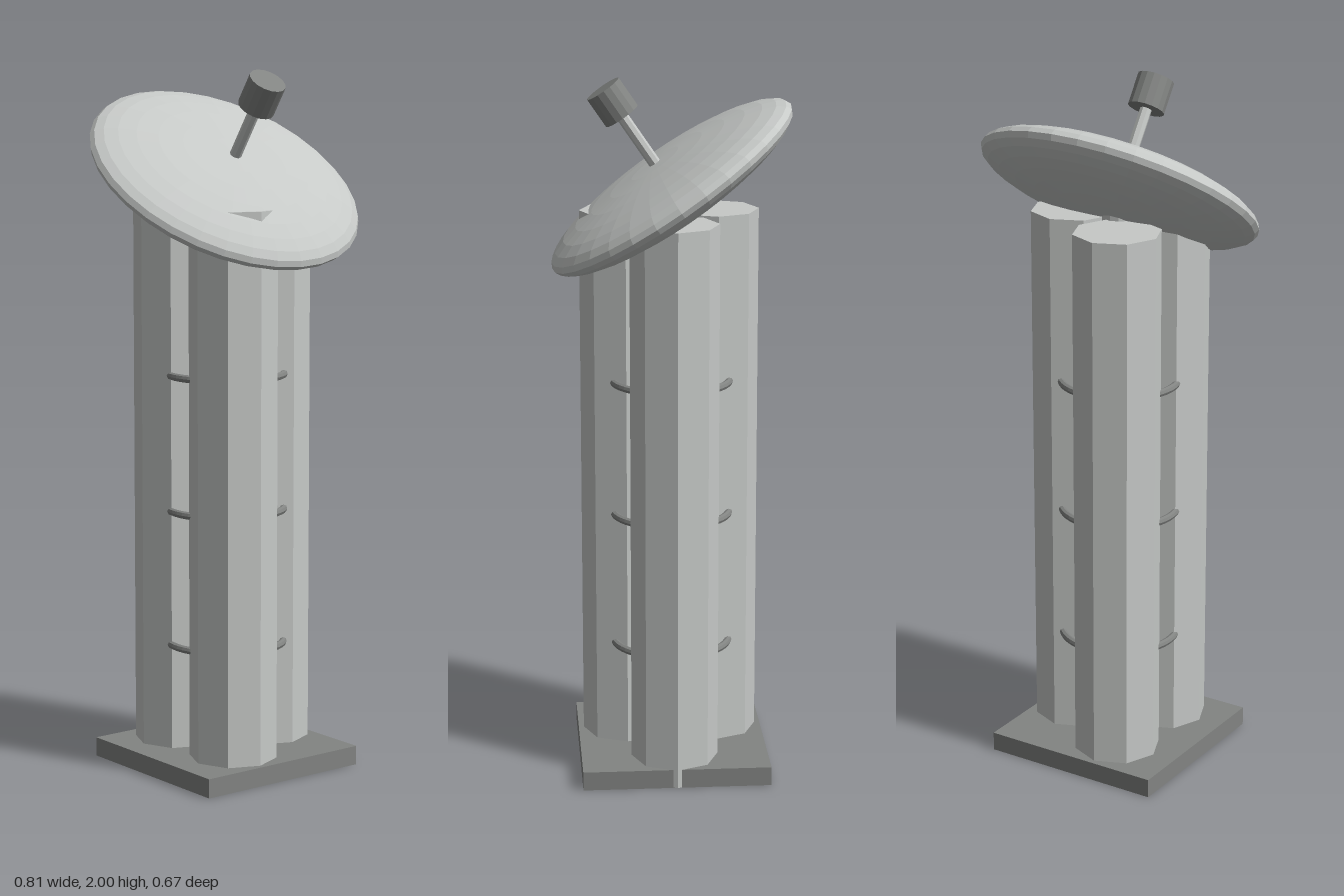
import * as THREE from 'three';

export function createModel() {
  const model = new THREE.Group();
  model.name = 'dishTower';

  const mat = (name, color) => {
    const m = new THREE.MeshStandardMaterial({ color, flatShading: true });
    m.name = name;
    return m;
  };
  const light = mat('lightGrey', 0xc6c9c7);
  const dark = mat('darkGrey', 0x828482);

  const add = (parent, name, geometry, material, x = 0, y = 0, z = 0) => {
    const mesh = new THREE.Mesh(geometry, material);
    mesh.name = name;
    mesh.position.set(x, y, z);
    parent.add(mesh);
    return mesh;
  };

  // Square foot plate
  add(model, 'base', new THREE.BoxGeometry(0.54, 0.055, 0.54), dark, 0, 0.0275, 0);

  // Three octagonal columns, evenly spaced around the axis
  const height = 1.616;
  const columnGeo = new THREE.CylinderGeometry(0.125, 0.125, height, 8);
  for (let i = 0; i < 3; i++) {
    const a = (i * Math.PI * 2) / 3;
    add(model, 'column', columnGeo, light, 0.15 * Math.cos(a), height / 2 + 0.001, 0.15 * Math.sin(a));
  }

  // Binding rings, showing only in the gaps between the columns
  const ringGeo = new THREE.TorusGeometry(0.167, 0.011, 8, 48).rotateX(Math.PI / 2);
  for (const y of [0.36, 0.75, 1.14]) add(model, 'bindingRing', ringGeo, dark, 0, y, 0);

  // Short post under the dish
  add(model, 'dishMount', new THREE.CylinderGeometry(0.05, 0.05, 0.1, 12), light, 0, 1.63, 0);

  // Tilted antenna: flattened dish, feed rod and receiver along its axis
  const antenna = new THREE.Group();
  antenna.name = 'antenna';
  antenna.position.y = 1.695;
  antenna.rotation.x = 0.6;
  model.add(antenna);
  add(antenna, 'dish', new THREE.SphereGeometry(0.404, 32, 16).scale(1, 0.2, 1), light);
  add(antenna, 'feedRod', new THREE.CylinderGeometry(0.017, 0.017, 0.25, 8), light, 0, 0.125, 0);
  add(antenna, 'receiver', new THREE.CylinderGeometry(0.053, 0.053, 0.092, 16), dark, 0, 0.287, 0);

  return model;
}
